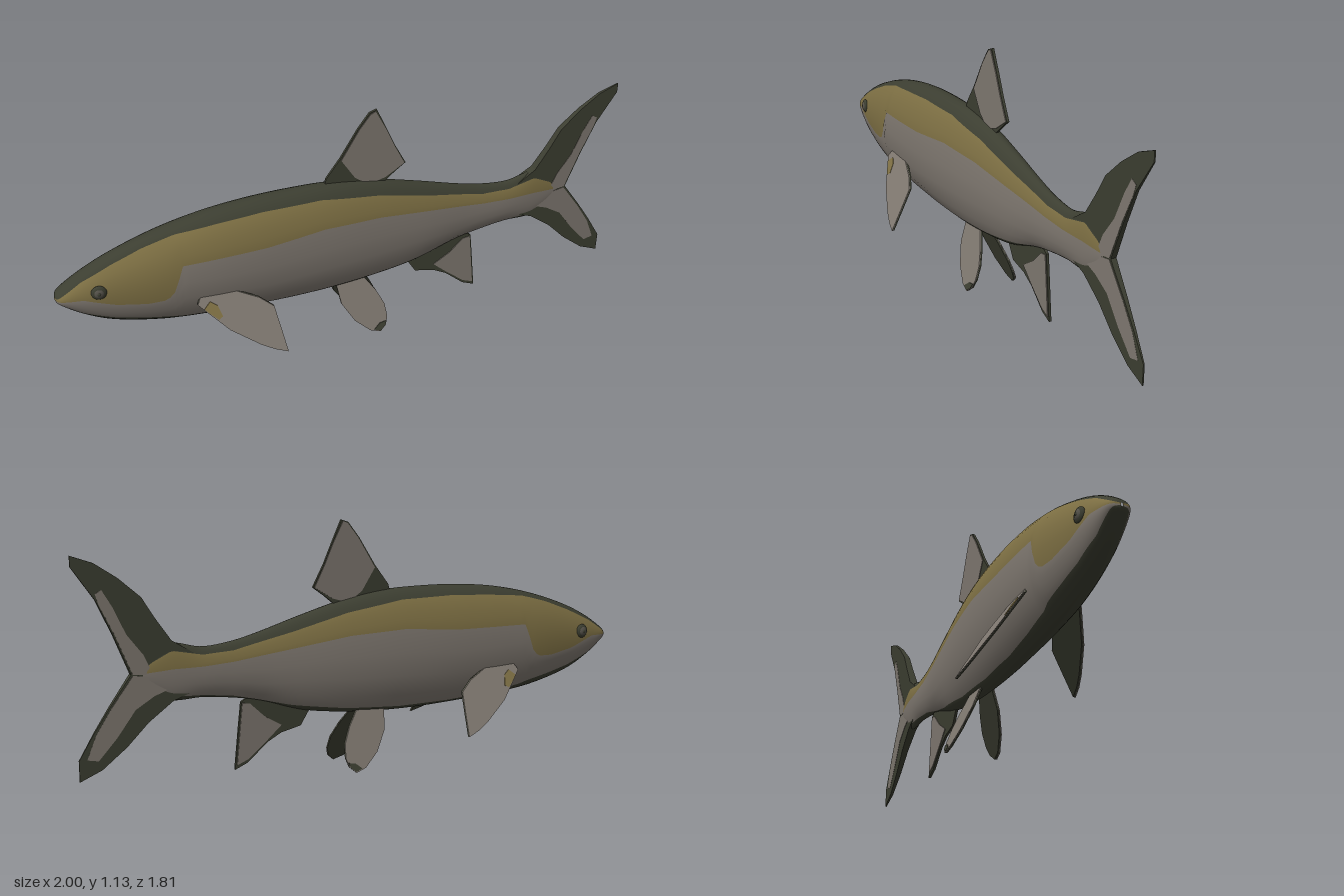
import * as THREE from 'three';

const K = Math.hypot(1, 0.9); // length stretch of the diagonal body axis
const paint = (name, color) => {
  const m = new THREE.MeshStandardMaterial({ color });
  m.name = name;
  return m;
};

// Piecewise linear lookup in rows of [u, ...values]
function lookup(rows, u) {
  let i = 0;
  while (i < rows.length - 2 && u > rows[i + 1][0]) i++;
  const a = rows[i], b = rows[i + 1];
  const t = THREE.MathUtils.clamp((u - a[0]) / (b[0] - a[0]), 0, 1);
  return a.map((v, k) => v + (b[k] - v) * t);
}

// Body stations: u, top, bottom, half width
const STATIONS = [
  [-0.985, 0.502, 0.485, 0.004], [-0.97, 0.53, 0.462, 0.046], [-0.9, 0.595, 0.39, 0.072],
  [-0.8, 0.662, 0.325, 0.092], [-0.65, 0.732, 0.277, 0.115], [-0.5, 0.778, 0.256, 0.124],
  [-0.35, 0.802, 0.246, 0.125], [-0.2, 0.81, 0.241, 0.12], [-0.05, 0.805, 0.245, 0.11],
  [0.1, 0.775, 0.262, 0.095], [0.25, 0.725, 0.295, 0.077], [0.4, 0.668, 0.362, 0.057],
  [0.5, 0.638, 0.39, 0.047], [0.6, 0.628, 0.408, 0.04], [0.7, 0.655, 0.41, 0.03],
  [0.78, 0.6, 0.47, 0.018], [0.83, 0.55, 0.52, 0.004],
];
// Colour borders: u, back/flank, flank/side, side/belly (the step is the gill cover)
const BORDERS = [
  [-0.985, 0.5, 0.495, 0.49], [-0.9, 0.575, 0.5, 0.415], [-0.8, 0.638, 0.455, 0.365],
  [-0.7, 0.69, 0.435, 0.335], [-0.64, 0.713, 0.44, 0.32], [-0.605, 0.725, 0.49, 0.31],
  [-0.59, 0.73, 0.6, 0.3], [-0.45, 0.75, 0.605, 0.277], [-0.3, 0.764, 0.61, 0.263],
  [-0.1, 0.763, 0.635, 0.264], [0.1, 0.725, 0.625, 0.285], [0.3, 0.66, 0.59, 0.33],
  [0.5, 0.603, 0.556, 0.402], [0.6, 0.597, 0.548, 0.42], [0.7, 0.625, 0.548, 0.428],
  [0.83, 0.54, 0.535, 0.525],
];

// Loft of elliptical rings whose rows follow the colour borders
function bodyGeometry() {
  const N = 140, STEP = 4, HALF = STEP * 4, RING = HALF * 2;
  const curve = k => new THREE.SplineCurve(STATIONS.map(s => new THREE.Vector2(s[0], s[k])));
  const [top, bottom, width] = [1, 2, 3].map(curve);
  const pos = [], bands = [[], [], [], []];
  for (let i = 0; i <= N; i++) {
    const p = top.getPoint(i / N), B = bottom.getPoint(i / N).y, W = width.getPoint(i / N).y;
    const mid = (p.y + B) / 2, h = (p.y - B) / 2;
    const marks = [0, ...lookup(BORDERS, p.x).slice(1)
      .map(y => Math.acos(THREE.MathUtils.clamp((y - mid) / h, -0.99, 0.99))), Math.PI];
    for (let j = 0; j < RING; j++) {
      const k = j <= HALF ? j : RING - j, b = Math.min(3, Math.floor(k / STEP));
      const phi = THREE.MathUtils.lerp(marks[b], marks[b + 1], k / STEP - b);
      pos.push(p.x * K, mid + h * Math.cos(phi), W * Math.sin(phi) * (j <= HALF ? 1 : -1));
    }
  }
  for (let i = 0; i < N; i++) for (let j = 0; j < RING; j++) {
    const a = i * RING + j, b = i * RING + (j + 1) % RING;
    const band = Math.floor(Math.min(j, RING - 1 - j) / STEP);
    bands[band].push(a, b, a + RING, b, b + RING, a + RING);
  }
  const g = new THREE.BufferGeometry();
  g.setAttribute('position', new THREE.Float32BufferAttribute(pos, 3));
  g.setIndex(bands.flat());
  let start = 0;
  bands.forEach((list, m) => { g.addGroup(start, list.length, m); start += list.length; });
  g.computeVertexNormals();
  return g;
}

// Flat fin outline given thickness, then its z changed by a rule
function finGeometry(points, depth, rule, stretch) {
  const shape = new THREE.Shape(points.map(p => new THREE.Vector2(p[0] * stretch, p[1])));
  const g = new THREE.ExtrudeGeometry(shape, { depth, bevelEnabled: false });
  g.translate(0, 0, -depth / 2);
  const p = g.attributes.position;
  for (let i = 0; i < p.count; i++) p.setZ(i, rule(p.getX(i), p.getY(i), p.getZ(i)));
  g.computeVertexNormals();
  return g;
}

export function createModel() {
  const dark = paint('dark olive', 0x3c3e31);
  const gold = paint('olive gold', 0x7d6f43);
  const grey = paint('warm grey', 0x7f7870);
  const eyeGrey = paint('eye grey', 0x55524a);

  const fish = new THREE.Group();
  fish.name = 'fish';
  const add = (parent, name, geometry, material) => {
    const mesh = new THREE.Mesh(geometry, material);
    mesh.name = name;
    parent.add(mesh);
    return mesh;
  };

  add(fish, 'body', bodyGeometry(), [dark, gold, grey, dark]);

  // Fins on the middle plane: dark blade with grey panels showing on both sides
  const middleFin = (name, outline, panels, depth, rule = (x, y, z) => z) => {
    add(fish, name, finGeometry(outline, depth, rule, K), dark);
    panels.forEach(p => add(fish, name + 'Panel', finGeometry(p, depth + 0.006, rule, K), grey));
  };
  middleFin('dorsalFin',
    [[-0.08, 0.78], [-0.07, 0.83], [-0.02, 0.92], [0.04, 1.05], [0.08, 1.12], [0.105, 1.132],
      [0.14, 1.03], [0.17, 0.94], [0.21, 0.84], [0.17, 0.8], [0.13, 0.755], [0.05, 0.75]],
    [[[-0.018, 0.91], [0.045, 1.05], [0.083, 1.115], [0.1, 1.125], [0.137, 1.03], [0.167, 0.94],
      [0.205, 0.84], [0.14, 0.785], [0.08, 0.76], [0.03, 0.81]]], 0.012);
  middleFin('analFin',
    [[0.22, 0.31], [0.34, 0.37], [0.44, 0.39], [0.47, 0.365], [0.48, 0.25], [0.495, 0.065],
      [0.45, 0.09], [0.38, 0.17], [0.33, 0.205], [0.26, 0.225]],
    [[[0.44, 0.355], [0.466, 0.36], [0.475, 0.25], [0.488, 0.085], [0.45, 0.105],
      [0.385, 0.175], [0.33, 0.24], [0.39, 0.29]]], 0.012);
  middleFin('tailFin',
    [[0.62, 0.6], [0.7, 0.67], [0.75, 0.77], [0.79, 0.86], [0.86, 0.945], [0.93, 1.01], [1, 1.045],
      [1, 1], [0.93, 0.86], [0.88, 0.71], [0.83, 0.54], [0.9, 0.41], [0.95, 0.31], [1, 0.2],
      [1, 0.11], [0.93, 0.15], [0.85, 0.235], [0.78, 0.33], [0.7, 0.41], [0.62, 0.45]],
    [[[0.76, 0.53], [0.79, 0.62], [0.84, 0.71], [0.88, 0.83], [0.91, 0.9], [0.93, 0.885],
      [0.92, 0.84], [0.875, 0.71], [0.825, 0.54]],
    [[0.72, 0.46], [0.75, 0.52], [0.824, 0.535], [0.895, 0.405], [0.945, 0.3], [0.975, 0.2],
      [0.94, 0.19], [0.88, 0.28], [0.82, 0.39], [0.76, 0.44]]],
    0.05, (x, y, z) => z * (1 - 0.88 * (x / K - 0.62) / 0.38));

  // Paired parts, built on the +z flank and mirrored
  for (const side of [1, -1]) {
    const half = new THREE.Group();
    half.name = side > 0 ? 'leftParts' : 'rightParts';
    half.scale.z = side;
    fish.add(half);

    // Splayed fins: dark inner blade, grey outer face
    const pairedFin = (name, outline, patches, z0, y0, splay) => {
      const rule = lift => (x, y, z) => z + z0 + lift + splay * (y0 - y);
      add(half, name, finGeometry(outline, 0.008, rule(0), 1), dark);
      add(half, name + 'Face', finGeometry(outline, 0.004, rule(0.0065), 1), grey);
      patches.forEach(([pts, mat]) =>
        add(half, name + 'Patch', finGeometry(pts, 0.003, rule(0.0095), 1), mat));
    };
    pairedFin('pectoralFin',
      [[-0.735, 0.39], [-0.72, 0.415], [-0.69, 0.425], [-0.56, 0.415], [-0.46, 0.37], [-0.4, 0.325],
        [-0.385, 0.23], [-0.372, 0.14], [-0.43, 0.16], [-0.49, 0.19], [-0.613, 0.27], [-0.69, 0.345]],
      [[[[-0.71, 0.37], [-0.68, 0.395], [-0.65, 0.375], [-0.635, 0.33], [-0.655, 0.32],
        [-0.69, 0.35]], gold]], 0.108, 0.41, 0.58);
    pairedFin('pelvicFin',
      [[-0.06, 0.27], [0.08, 0.27], [0.13, 0.2], [0.165, 0.13], [0.172, 0.07], [0.16, 0.03],
        [0.13, 0.004], [0.08, 0.02], [0.01, 0.08], [-0.045, 0.17]],
      [[[[0.1, 0.02], [0.13, 0.045], [0.165, 0.05], [0.155, 0.028], [0.13, 0.009]], dark]],
      0.028, 0.25, 0.36);

    // Eye: dark rim, grey iris, dark pupil
    const eye = new THREE.Group();
    eye.name = 'eye';
    eye.position.set(-0.85 * K, 0.53, 0.079);
    eye.rotation.y = -0.12;
    half.add(eye);
    [['eyeRim', 0.034, 0.014, dark], ['iris', 0.027, 0.0175, eyeGrey], ['pupil', 0.013, 0.0205, dark]]
      .forEach(([name, r, bulge, mat]) =>
        add(eye, name, new THREE.SphereGeometry(r, 20, 14), mat).scale.z = bulge / r);
  }

  // The fish lies diagonally, head towards front right
  fish.rotation.y = Math.atan(0.9);
  const model = new THREE.Group();
  model.name = 'fishModel';
  model.add(fish);
  return model;
}
